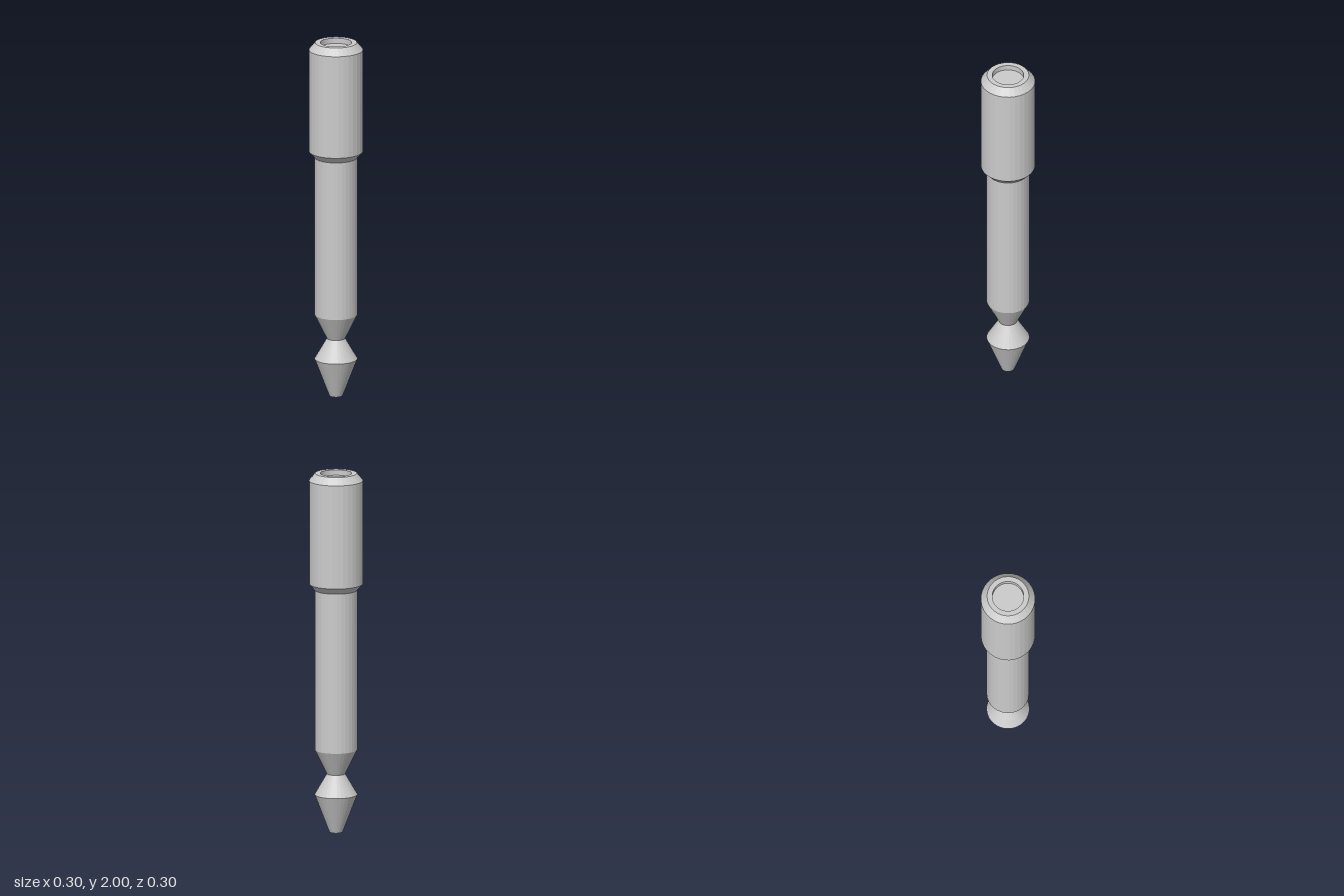
import * as THREE from 'three';

const SIDES = 32;

// Profiles are [radius, height] pairs running from the bottom up the outside.
function turned(name, profile, material) {
  const points = profile.map(([r, y]) => new THREE.Vector2(r, y));
  const mesh = new THREE.Mesh(new THREE.LatheGeometry(points, SIDES), material);
  mesh.name = name;
  return mesh;
}

export function createModel() {
  const group = new THREE.Group();
  group.name = 'turnedPin';
  const material = new THREE.MeshStandardMaterial({ color: 0xcccccc, flatShading: true });

  // Blunt conical tip flaring to a rim, then narrowing to the neck
  group.add(turned('tip', [[0, 0], [0.036, 0], [0.117, 0.21], [0.05, 0.325]], material));

  // Straight shaft with a tapered lower end
  group.add(turned('shaft', [[0.05, 0.325], [0.117, 0.46], [0.117, 1.35]], material));

  // Wider grip with chamfered ends and a shallow round recess in the top
  group.add(turned('grip', [
    [0.117, 1.35], [0.148, 1.385], [0.148, 1.96], [0.114, 2],
    [0.086, 2], [0.086, 1.97], [0, 1.97],
  ], material));

  return group;
}
